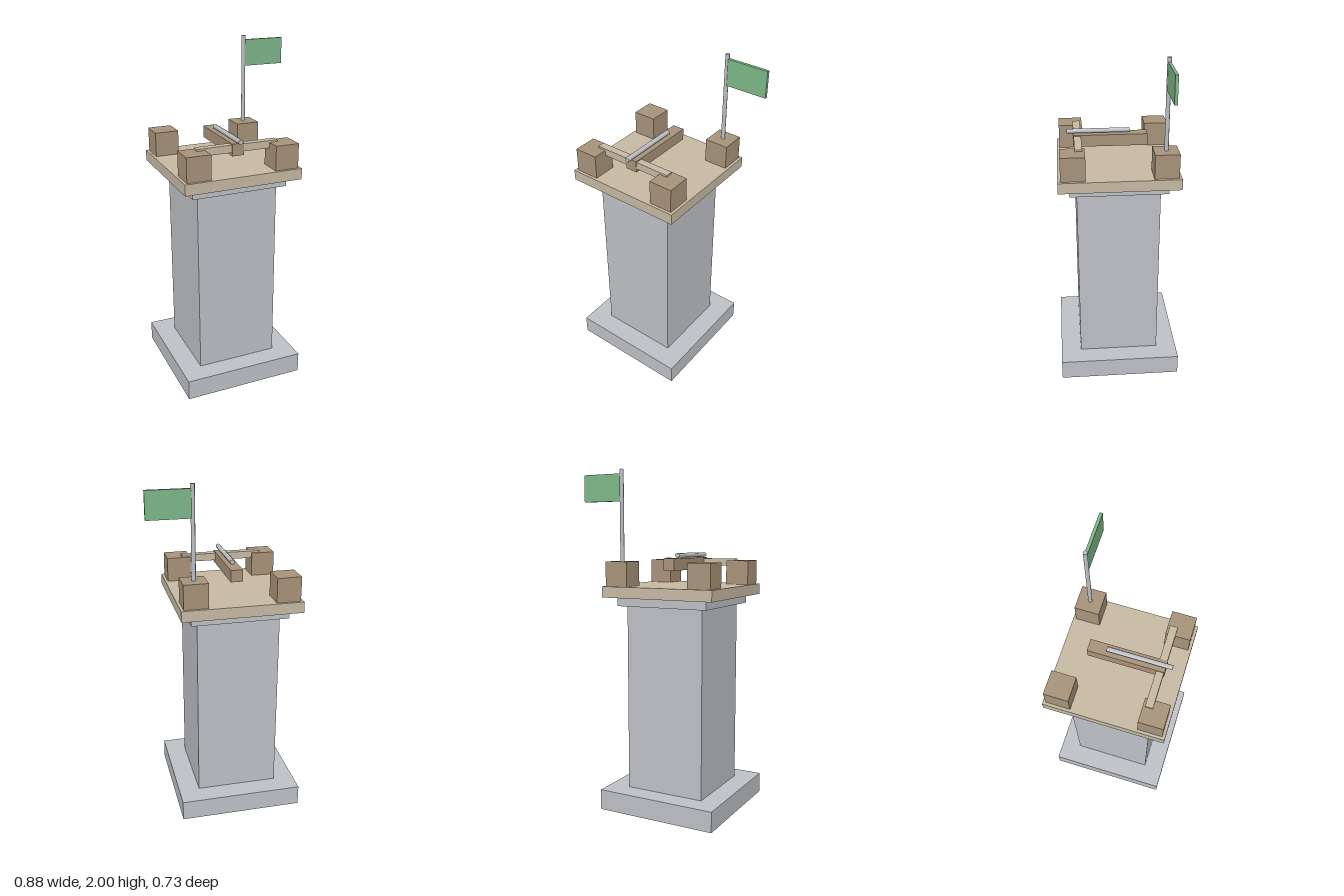
import * as THREE from 'three';

const flat = (name, color) => {
  const m = new THREE.MeshStandardMaterial({ color });
  m.name = name;
  return m;
};

export function createModel() {
  const stone = flat('stone grey', 0xbdc0c5);
  const darkWood = flat('dark wood', 0xa79279);
  const lightWood = flat('light wood', 0xc6b9a3);
  const green = flat('flag green', 0x7db788);

  const model = new THREE.Group();
  model.name = 'watchtower';
  const cx = -0.075; // tower axis; the flag overhangs on the left

  const add = (parent, name, geometry, material, x, y, z) => {
    const mesh = new THREE.Mesh(geometry, material);
    mesh.name = name;
    mesh.position.set(x, y, z);
    parent.add(mesh);
    return mesh;
  };
  // Box given by its width, bottom, top and depth
  const slab = (parent, name, material, w, y0, y1, d, x = cx, z = 0) =>
    add(parent, name, new THREE.BoxGeometry(w, y1 - y0, d), material, x, (y0 + y1) / 2, z);

  // Stacked tower
  slab(model, 'base', stone, 0.73, 0, 0.121, 0.73);
  slab(model, 'shaft', stone, 0.484, 0.121, 1.222, 0.484);
  slab(model, 'cap', stone, 0.568, 1.222, 1.274, 0.568);
  slab(model, 'deck', lightWood, 0.697, 1.274, 1.338, 0.695);

  // Corner blocks
  for (const sx of [-1, 1])
    for (const sz of [-1, 1])
      slab(model, 'cornerBlock', darkWood, 0.14, 1.338, 1.48, 0.14, cx + sx * 0.262, sz * 0.261);

  // Large crossbow between the front blocks
  const crossbow = new THREE.Group();
  crossbow.name = 'crossbow';
  model.add(crossbow);
  slab(crossbow, 'stock', darkWood, 0.07, 1.428, 1.497, 0.434, cx, 0.033);
  slab(crossbow, 'bowArm', lightWood, 0.483, 1.448, 1.491, 0.043, cx, 0.225);
  const bolt = add(crossbow, 'bolt', new THREE.CylinderGeometry(0.014, 0.014, 0.366, 8), stone, cx, 1.513, 0.103);
  bolt.rotation.x = Math.PI / 2;

  // Flag on the rear left block
  const poleX = 0.186, poleZ = -0.262;
  add(model, 'flagPole', new THREE.CylinderGeometry(0.012, 0.012, 0.52, 8), stone, poleX, 1.74, poleZ);
  slab(model, 'flag', green, 0.248, 1.82, 1.975, 0.017, 0.314, poleZ);

  return model;
}
